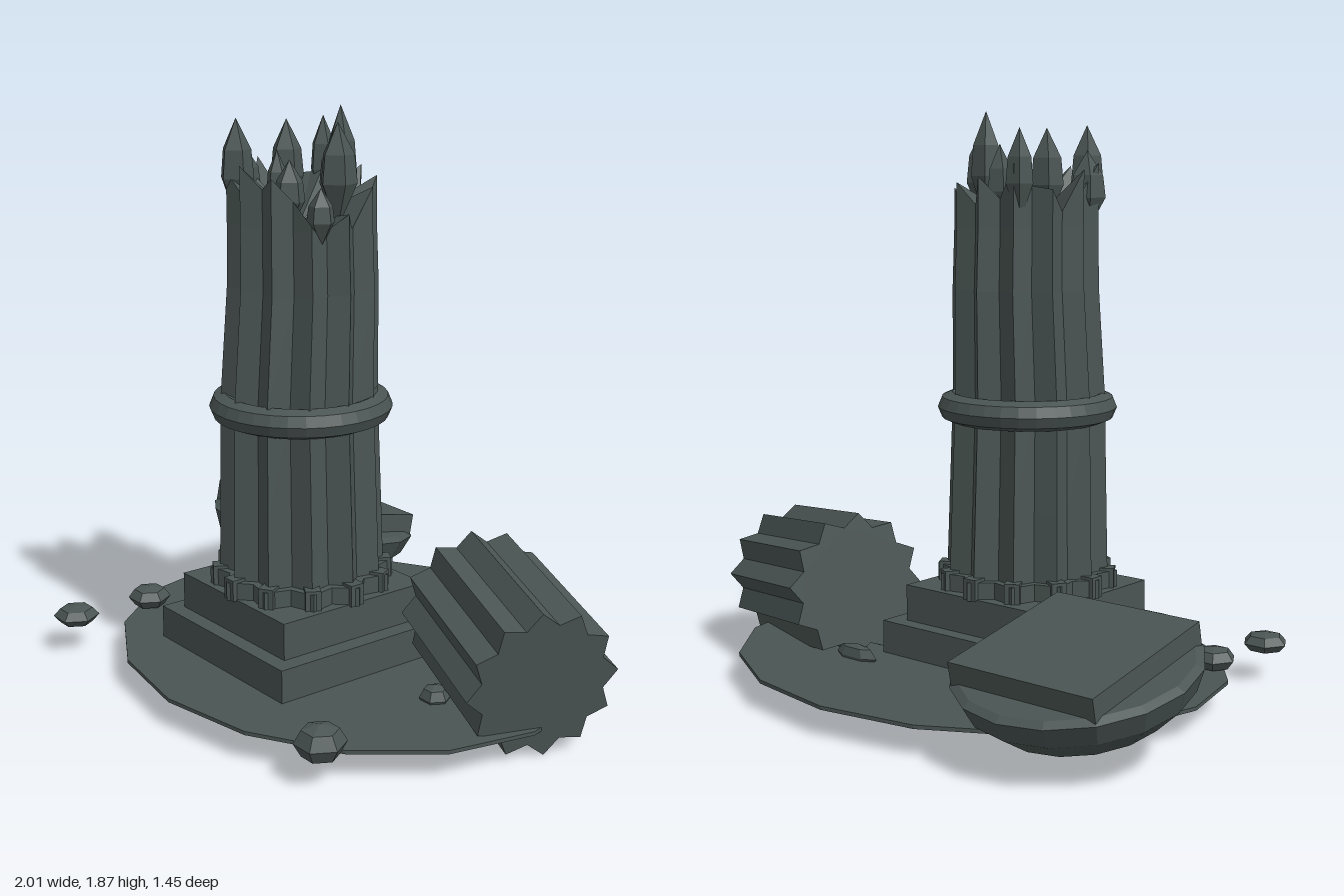
import * as THREE from 'three';

const stone = new THREE.MeshStandardMaterial({ color: 0x4a5553, flatShading: true, side: THREE.DoubleSide });
stone.name = 'darkStone';

const FLUTES = 12;
const CX = -0.04, CZ = 0.137; // column axis

function add(parent, name, geometry, x = 0, y = 0, z = 0) {
  const mesh = new THREE.Mesh(geometry, stone);
  mesh.name = name;
  mesh.position.set(x, y, z);
  parent.add(mesh);
  return mesh;
}

// Star outline shared by the fallen drum and the foot of the column
function starShape(outer, inner) {
  const pts = [];
  for (let i = 0; i < FLUTES * 2; i++) {
    const a = (i * Math.PI) / FLUTES, r = i % 2 ? inner : outer;
    pts.push(new THREE.Vector2(Math.sin(a) * r, Math.cos(a) * r));
  }
  return new THREE.Shape(pts);
}

// Fluted shaft lofted upwards, ending in a jagged rim around a sunken break
function shaftGeometry() {
  const n = FLUTES * 2;
  const rows = [ // y, ridge radius, x shift, z shift
    [0.32, 0.27, 0, 0], [0.6, 0.262, 0, 0.002], [0.95, 0.252, 0, 0.005],
    [1.3, 0.24, 0.002, -0.01], [1.5, 0.235, 0.002, -0.008],
  ];
  const rim = [1.69, 1.66, 1.52, 1.55, 1.62, 1.64, 1.66, 1.7, 1.62, 1.68, 1.7, 1.66];
  const pos = [], index = [];
  for (let j = 0; j <= rows.length; j++) {
    const [y0, r0, dx, dz] = rows[Math.min(j, rows.length - 1)];
    for (let i = 0; i < n; i++) {
      const a = (i / n) * Math.PI * 2;
      const r = i % 2 ? r0 * 0.83 : r0;
      const y = j < rows.length ? y0 : rim[i >> 1] - (i % 2 ? 0.07 : 0);
      pos.push(dx + Math.sin(a) * r, y, dz + Math.cos(a) * r);
    }
  }
  for (let j = 0; j < rows.length; j++) {
    for (let i = 0; i < n; i++) {
      const a = j * n + i, b = j * n + ((i + 1) % n);
      index.push(a, b, b + n, a, b + n, a + n);
    }
  }
  // Broken top
  const top = rows.length * n, centre = pos.length / 3;
  pos.push(0, 1.5, 0);
  for (let i = 0; i < n; i++) index.push(top + i, top + ((i + 1) % n), centre);
  const g = new THREE.BufferGeometry();
  g.setAttribute('position', new THREE.Float32BufferAttribute(pos, 3));
  g.setIndex(index);
  g.computeVertexNormals();
  return g;
}

// Five-sided splinter, pointed at both ends
function splinterGeometry(radius, height) {
  const h = height / 2;
  return new THREE.LatheGeometry([
    new THREE.Vector2(0, -h), new THREE.Vector2(radius, -h * 0.15),
    new THREE.Vector2(radius * 0.85, h * 0.4), new THREE.Vector2(0, h),
  ], 5);
}

export function createModel() {
  const model = new THREE.Group();
  model.name = 'ruinedColumn';

  // Ground slab and stepped plinth
  const ground = add(model, 'groundDisc', new THREE.CylinderGeometry(1, 1, 0.012, 16), 0.05, 0.086, -0.003);
  ground.scale.set(0.86, 1, 0.725);
  add(model, 'lowerPlinth', new THREE.BoxGeometry(0.67, 0.2, 0.67), -0.037, 0.1, 0.135);
  add(model, 'upperPlinth', new THREE.BoxGeometry(0.56, 0.12, 0.565), -0.04, 0.26, 0.135);

  // Standing column
  const column = new THREE.Group();
  column.name = 'column';
  column.position.set(CX, 0, CZ);
  model.add(column);
  const foot = new THREE.ExtrudeGeometry(starShape(0.3, 0.25), { depth: 0.06, bevelEnabled: false });
  add(column, 'columnFoot', foot.rotateX(-Math.PI / 2), 0, 0.315, 0);
  for (let i = 0; i < FLUTES; i++) {
    const a = (i / FLUTES) * Math.PI * 2;
    const tab = add(column, 'footTab', new THREE.BoxGeometry(0.05, 0.07, 0.06),
      Math.sin(a) * 0.262, 0.35, Math.cos(a) * 0.262);
    tab.rotation.y = a;
  }
  add(column, 'shaft', shaftGeometry());
  const band = add(column, 'band', new THREE.TorusGeometry(0.245, 0.048, 8, 32), 0, 0.914, 0);
  band.geometry.rotateZ(0).rotateX(Math.PI / 2);

  // Splinters on the broken top: x, tip height, z, radius, length
  const splinters = [
    [0.08, 1.865, 0.07, 0.05, 0.36], [0.13, 1.82, 0.12, 0.06, 0.32],
    [-0.15, 1.81, -0.04, 0.045, 0.3], [-0.16, 1.82, 0.29, 0.055, 0.32],
    [-0.13, 1.81, 0.12, 0.055, 0.31], [-0.2, 1.74, 0.24, 0.06, 0.26],
    [-0.03, 1.73, 0.23, 0.035, 0.22], [0.06, 1.71, 0.25, 0.05, 0.22],
    [-0.02, 1.76, 0.02, 0.045, 0.26], [0.15, 1.63, 0.2, 0.045, 0.18],
  ];
  splinters.forEach(([x, tip, z, r, h], i) => {
    const s = add(model, 'splinter', splinterGeometry(r, h), x, tip - h / 2, z);
    s.rotation.y = i * 1.3;
  });

  // Fallen capital, leaning back
  const capital = new THREE.Group();
  capital.name = 'fallenCapital';
  capital.position.set(-0.63, 0.262, -0.355);
  capital.rotation.x = -0.205;
  model.add(capital);
  const dish = [[0, -0.145], [0.26, -0.145], [0.345, -0.07], [0.374, 0], [0.35, 0.015], [0, 0.015]];
  add(capital, 'capitalDish', new THREE.LatheGeometry(dish.map(([r, y]) => new THREE.Vector2(r, y)), 16));
  add(capital, 'capitalSlab', new THREE.BoxGeometry(0.52, 0.08, 0.52), 0, 0.04, 0);

  // Fallen fluted drum
  const drumGeo = new THREE.ExtrudeGeometry(starShape(0.242, 0.2), { depth: 0.55, bevelEnabled: false });
  drumGeo.translate(0, 0, -0.275);
  const drum = add(model, 'fallenDrum', drumGeo, 0.66, 0.268, -0.12);
  drum.quaternion.setFromUnitVectors(new THREE.Vector3(0, 0, 1), new THREE.Vector3(0.52, -0.07, 0.19).normalize());

  // Rubble: x, y, z, then half sizes
  const rubble = [
    [-0.635, 0.125, 0.36, 0.073, 0.04, 0.073], [-0.655, 0.12, 0.64, 0.077, 0.035, 0.077],
    [0.62, 0.122, 0.57, 0.08, 0.058, 0.08], [0.32, 0.1, -0.303, 0.09, 0.04, 0.03],
    [0.56, 0.1, 0.08, 0.05, 0.04, 0.05],
  ];
  for (const [x, y, z, sx, sy, sz] of rubble) {
    add(model, 'rubble', new THREE.SphereGeometry(1, 6, 4), x, y, z).scale.set(sx, sy, sz);
  }
  return model;
}
